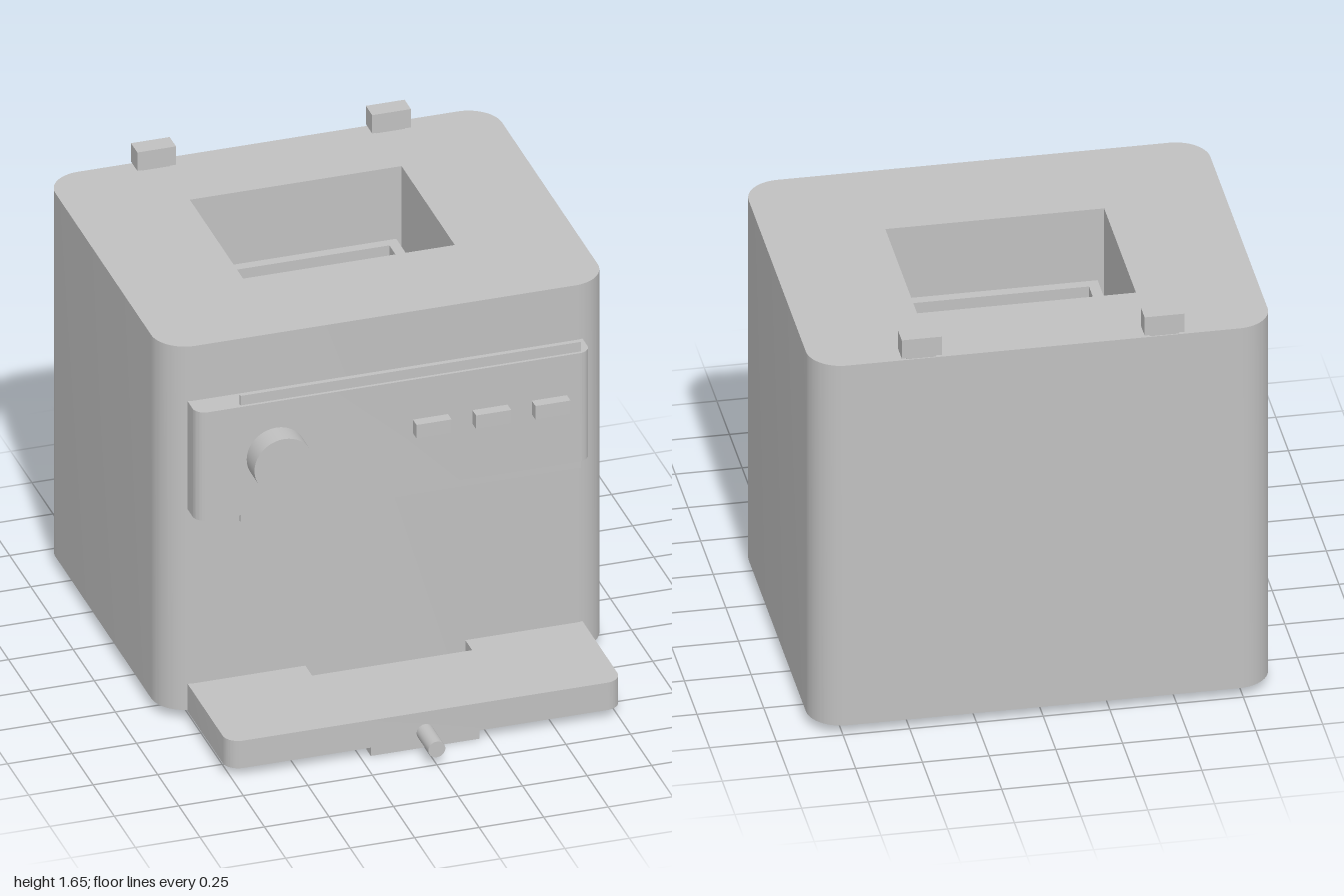
import * as THREE from 'three';
import { toCreasedNormals } from 'three/addons/utils/BufferGeometryUtils.js';

const grey = new THREE.MeshStandardMaterial({ color: 0xc0c0c0 });
grey.name = 'light grey';

// Rounded rectangle seen from above; shape y is -z
function outline(x0, x1, z0, z1, r, Type = THREE.Shape) {
  const s = new Type();
  const b = -z1, t = -z0;
  if (!r) {
    s.moveTo(x0, b).lineTo(x1, b).lineTo(x1, t).lineTo(x0, t).lineTo(x0, b);
    return s;
  }
  s.moveTo(x0 + r, b);
  s.lineTo(x1 - r, b);
  s.absarc(x1 - r, b + r, r, -Math.PI / 2, 0, false);
  s.lineTo(x1, t - r);
  s.absarc(x1 - r, t - r, r, 0, Math.PI / 2, false);
  s.lineTo(x0 + r, t);
  s.absarc(x0 + r, t - r, r, Math.PI / 2, Math.PI, false);
  s.lineTo(x0, b + r);
  s.absarc(x0 + r, b + r, r, Math.PI, Math.PI * 1.5, false);
  return s;
}

export function createModel() {
  const model = new THREE.Group();
  model.name = 'breadMaker';

  const add = (name, geometry) => {
    const mesh = new THREE.Mesh(geometry, grey);
    mesh.name = name;
    model.add(mesh);
    return mesh;
  };

  // Upright slab from an outline
  const slab = (name, shape, y0, y1) => {
    const g = new THREE.ExtrudeGeometry(shape, { depth: y1 - y0, bevelEnabled: false, curveSegments: 12 });
    g.rotateX(-Math.PI / 2).translate(0, y0, 0);
    return add(name, toCreasedNormals(g, 0.5));
  };

  // Box by its extents
  const box = (name, x0, x1, y0, y1, z0, z1) => add(name,
    new THREE.BoxGeometry(x1 - x0, y1 - y0, z1 - z0)
      .translate((x0 + x1) / 2, (y0 + y1) / 2, (z0 + z1) / 2));

  // Cylinder lying along z
  const rod = (name, x, y, r, z0, z1, sides) => add(name,
    new THREE.CylinderGeometry(r, r, z1 - z0, sides).rotateX(Math.PI / 2)
      .translate(x, y, (z0 + z1) / 2));

  // Housing with an open baking chamber
  const body = outline(-0.865, 0.865, -1, 0.39, 0.13);
  body.holes.push(outline(-0.41, 0.41, -0.67, -0.04, 0, THREE.Path));
  slab('body', body, 0.04, 1.57);
  box('chamberFloor', -0.41, 0.41, 0.04, 0.3, -0.67, -0.04);

  // Removable pan standing in the chamber
  const pan = outline(-0.38, 0.38, -0.64, -0.07, 0);
  pan.holes.push(outline(-0.34, 0.34, -0.6, -0.11, 0, THREE.Path));
  slab('panWall', pan, 0.3, 1.285);
  box('panFloor', -0.34, 0.34, 0.3, 0.36, -0.6, -0.11);

  // Control panel, trim plate, knob and buttons
  slab('controlPanel', outline(-0.765, 0.765, 0.3, 0.49, 0.045), 0.885, 1.34);
  box('trimPlate', -0.59, 0.73, 0.85, 1.38, 0.465, 0.478);
  rod('knob', -0.455, 1.115, 0.115, 0.48, 0.582, 40);
  for (const x of [0.142, 0.373, 0.603]) {
    box('button', x - 0.068, x + 0.068, 1.115, 1.172, 0.48, 0.533);
  }

  // Base tray with a slot in front of the body
  const tray = outline(-0.765, 0.765, -0.21, 0.86, 0.06);
  tray.holes.push(outline(-0.31, 0.31, 0.34, 0.47, 0, THREE.Path));
  slab('baseTray', tray, 0.035, 0.15);
  rod('pullRod', 0, 0.065, 0.033, -0.18, 1, 24);

  // Feet
  box('frontFoot', -0.21, 0.21, 0, 0.045, 0.78, 0.86);
  box('rearFoot', -0.53, 0.53, 0, 0.045, -0.29, -0.21);

  // Lid hinges at the rear edge
  for (const s of [-1, 1]) {
    const x = s * 0.455;
    box('hingeBlock', x - 0.075, x + 0.075, 1.578, 1.655, -1, -0.925);
    box('hingeStub', x - 0.055, x + 0.055, 1.56, 1.58, -0.995, -0.935);
  }

  return model;
}
